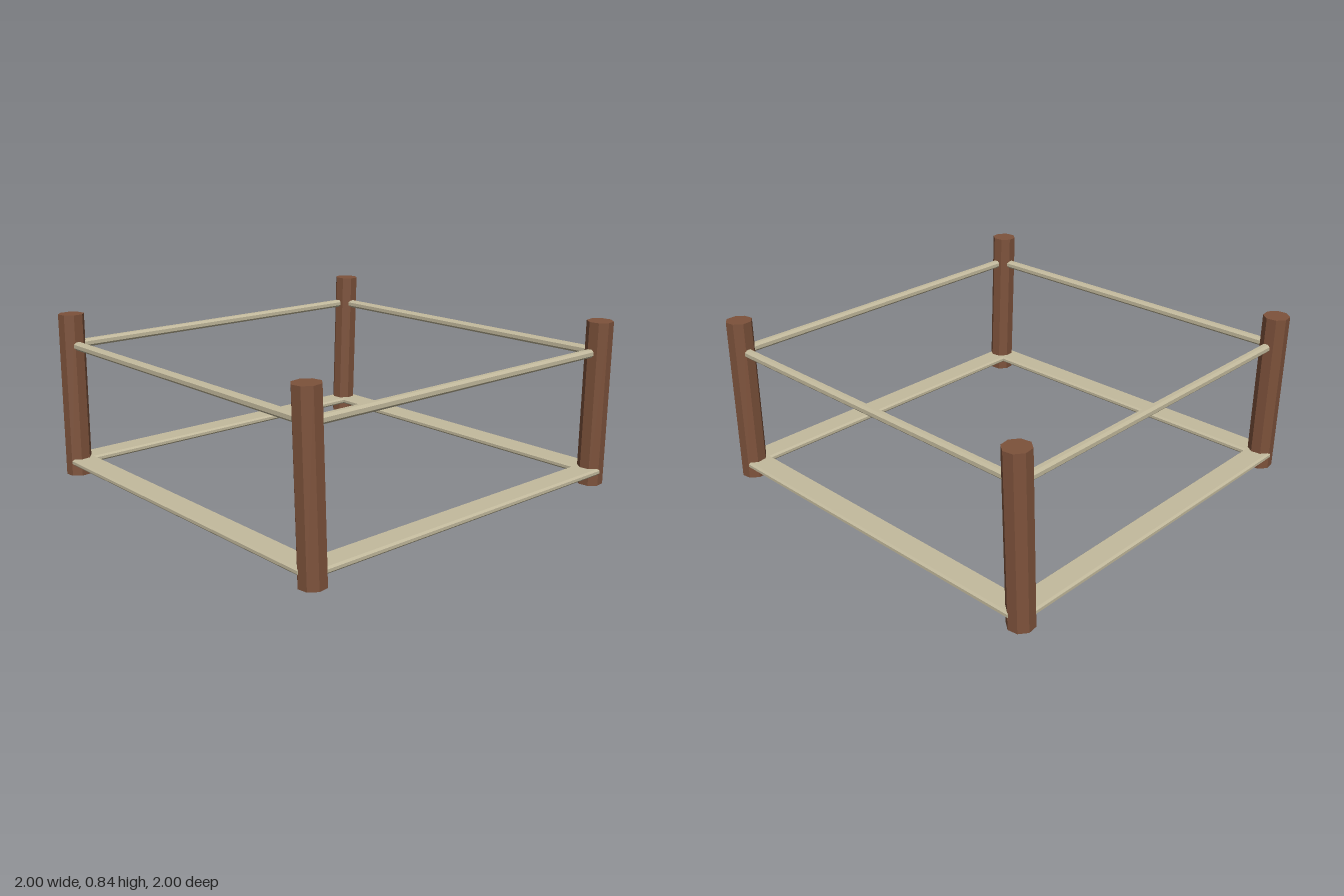
import * as THREE from 'three';

const postWood = new THREE.MeshStandardMaterial({ color: 0x7d523b, flatShading: true });
postWood.name = 'brown post wood';
const railWood = new THREE.MeshStandardMaterial({ color: 0xc3ba9d, flatShading: true });
railWood.name = 'pale rail wood';

// Bar along x with a rectangular, chamfered cross-section
function bar(name, length, width, height, bevel) {
  const w = width / 2, h = height / 2, b = bevel;
  const profile = new THREE.Shape([
    [-w + b, -h], [w - b, -h], [w, -h + b], [w, h - b],
    [w - b, h], [-w + b, h], [-w, h - b], [-w, -h + b],
  ].map(([x, y]) => new THREE.Vector2(x, y)));
  const geometry = new THREE.ExtrudeGeometry(profile, { depth: length, bevelEnabled: false });
  geometry.translate(0, 0, -length / 2).rotateY(Math.PI / 2);
  const mesh = new THREE.Mesh(geometry, railWood);
  mesh.name = name;
  return mesh;
}

// Eight-sided post leaning from its foot to its top
function post(foot, top) {
  const axis = top.clone().sub(foot);
  const geometry = new THREE.CylinderGeometry(0.065, 0.065, axis.length(), 8);
  geometry.rotateY(Math.PI / 8 + 0.12);
  const mesh = new THREE.Mesh(geometry, postWood);
  mesh.name = 'cornerPost';
  mesh.position.copy(foot).add(top).multiplyScalar(0.5);
  mesh.quaternion.setFromUnitVectors(new THREE.Vector3(0, 1, 0), axis.normalize());
  return mesh;
}

export function createModel() {
  const model = new THREE.Group();
  model.name = 'fenceEnclosure';

  // Four identical sides, each turned a quarter turn from the last
  for (let i = 0; i < 4; i++) {
    const side = new THREE.Group();
    side.name = ['frontSide', 'leftSide', 'backSide', 'rightSide'][i];
    side.rotation.y = i * Math.PI / 2;

    side.add(post(new THREE.Vector3(-0.921, 0.001, 0.935), new THREE.Vector3(-0.935, 0.836, 0.921)));

    const topRail = bar('topRail', 1.84, 0.042, 0.04, 0.011);
    topRail.position.set(0, 0.68, 0.926);
    side.add(topRail);

    const basePlank = bar('basePlank', 1.84, 0.125, 0.032, 0.009);
    basePlank.position.set(0, 0.073, 0.927);
    side.add(basePlank);

    model.add(side);
  }
  return model;
}
